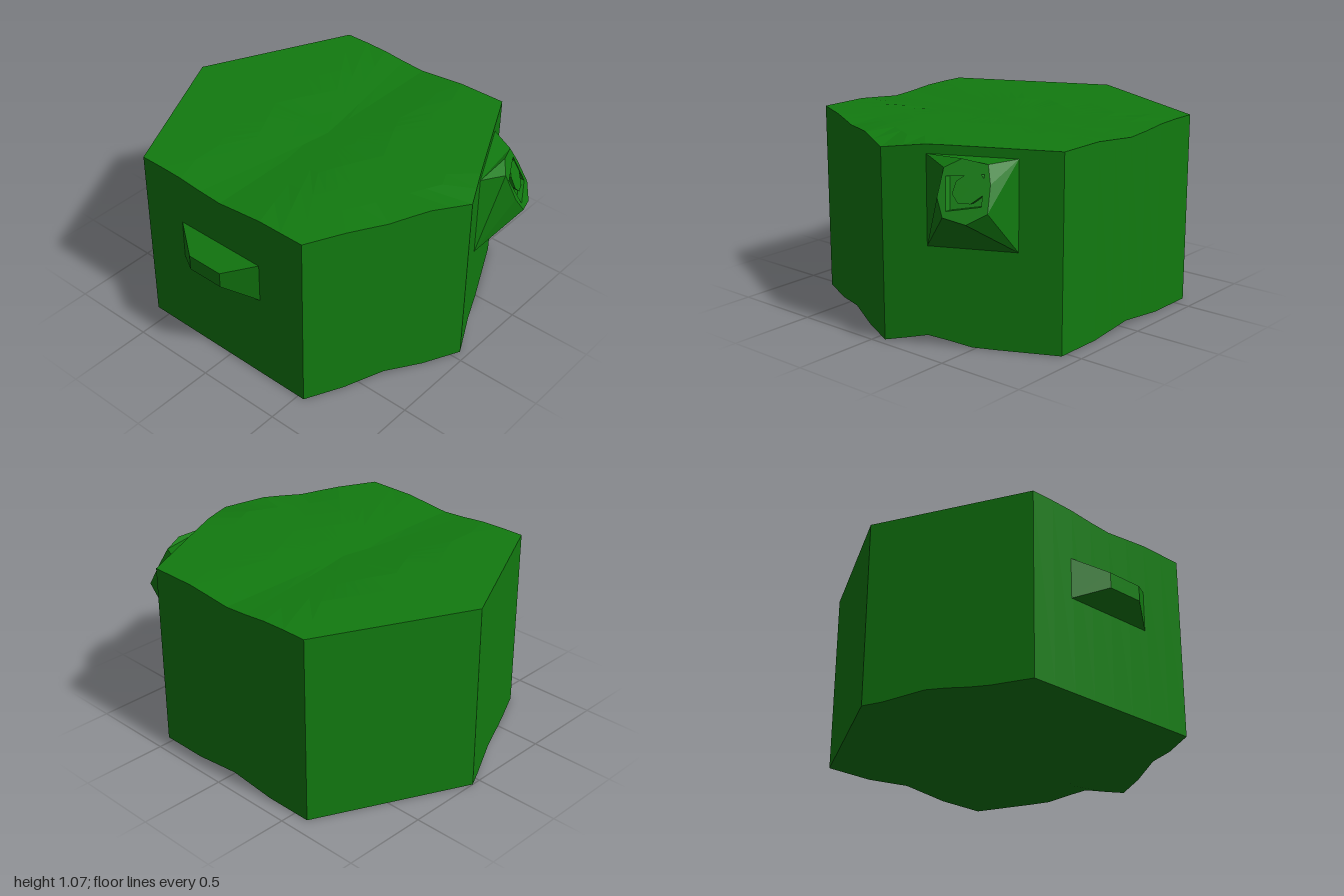
import * as THREE from 'three';

const material = new THREE.MeshStandardMaterial({ color: 0x127a10, flatShading: true });

// Skin a list of rings; points run clockwise as seen from the last ring's side
function loft(name, rings) {
  const pos = [];
  for (let i = 0; i < rings.length - 1; i++) {
    const lo = rings[i], hi = rings[i + 1], n = lo.length;
    for (let j = 0; j < n; j++) {
      const k = (j + 1) % n;
      for (const tri of [[lo[j], hi[j], hi[k]], [lo[j], hi[k], lo[k]]]) {
        const [a, b, c] = tri.map((p) => new THREE.Vector3(...p));
        if (b.sub(a).cross(c.sub(a)).length() > 1e-7) pos.push(...tri.flat());
      }
    }
  }
  const geo = new THREE.BufferGeometry();
  geo.setAttribute('position', new THREE.Float32BufferAttribute(pos, 3));
  geo.computeVertexNormals();
  const mesh = new THREE.Mesh(geo, material);
  mesh.name = name;
  return mesh;
}

// Triangular bump of height h centred on c with half-width w
const bump = (v, c, w, h) => h * Math.max(0, 1 - Math.abs(v - c) / w);

const HEIGHT = 1.07;
const CENTRE = [0.055, -0.025];
const CORNERS = [[0.055, -1], [0.905, -0.59], [0.905, 0.54], [0.055, 0.955], [-0.795, 0.54], [-0.795, -0.59]];

// Six-sided block with a shallow valley on top and chipped bottom edges
function makeBody() {
  const rim = [];
  // Notches in the bottom edge, per side: position, half-width, height
  const notches = [null, [0.5, 0.25, 0.03], [0.74, 0.25, 0.05], [0.5, 0.25, 0.03], null, [0.6, 0.3, 0.035]];
  CORNERS.forEach(([x0, z0], e) => {
    const [x1, z1] = CORNERS[(e + 1) % 6];
    for (let i = 0; i < 8; i++) {
      const t = i / 8;
      rim.push({ x: x0 + (x1 - x0) * t, z: z0 + (z1 - z0) * t, lift: notches[e] ? bump(t, ...notches[e]) : 0 });
    }
  });
  const topY = (x, z) => HEIGHT - bump(z, -0.05, 0.3, 0.03) - bump(z, 0.955, 0.11, 0.03)
    - bump(x, -0.37, 0.2, 0.015) * Math.max(0, Math.min(1, (z - 0.5) / 0.2));
  const ring = (s, yOf) => rim.map((p) => {
    const x = CENTRE[0] + (p.x - CENTRE[0]) * s, z = CENTRE[1] + (p.z - CENTRE[1]) * s;
    return [x, yOf(x, z, p.lift), z];
  });
  const scales = [0, 0.2, 0.4, 0.6, 0.8, 1];
  return loft('body', [
    ...scales.map((s) => ring(s, (x, z, lift) => lift * Math.max(0, (s - 0.6) / 0.4))),
    ...scales.reverse().map((s) => ring(s, topY)),
  ]);
}

// Flared spout on the front left side, its lip tilted upward
function makeSpout() {
  const nx = 0.439, nz = 0.898, faceD = 0.882;
  const place = (pts, out) => pts.map(([x, y]) => [x, y, (faceD + out(y) - nx * x) / nz]);
  const doubled = ([tl, tr, br, bl]) => [tl, tr, tr, br, br, bl, bl, tl];
  const base = doubled([[0.27, 1.02], [0.7, 1.02], [0.7, 0.535], [0.27, 0.535]]);
  const lip = [[0.505, 1.03], [0.63, 1.01], [0.67, 0.92], [0.7, 0.79], [0.62, 0.735], [0.505, 0.76], [0.45, 0.85], [0.435, 0.985]];
  const socket = doubled([[0.456, 0.946], [0.627, 0.966], [0.662, 0.819], [0.51, 0.79]]);
  const knob = lip.map((_, i) => {
    const a = Math.PI * (0.625 - i / 4);
    return [0.578 + 0.075 * Math.cos(a), 0.897 + 0.075 * Math.sin(a)];
  });
  const tilt = (sink) => (y) => 0.24 - (y - 0.74) * 0.5 - sink;
  return loft('spout', [
    place(base, () => 0),
    place(lip, tilt(0)),
    place(socket, tilt(0)),
    place(socket, tilt(0.03)),
    place(knob, tilt(0.03)),
    place(knob, tilt(0.005)),
    place(knob.map(() => [0.578, 0.897]), tilt(0.005)),
  ]);
}

// Low tapered boss on the right side
function makeBoss() {
  const rect = (x, y0, y1, z0, z1) => [[x, y1, z0], [x, y1, z1], [x, y0, z1], [x, y0, z0]];
  return loft('sideBoss', [
    rect(-0.795, 0.535, 0.77, -0.32, 0.24),
    rect(-0.915, 0.61, 0.7, -0.15, 0.07),
    rect(-0.915, 0.655, 0.655, -0.04, -0.04),
  ]);
}

export function createModel() {
  const group = new THREE.Group();
  group.name = 'hexagonalBlock';
  group.add(makeBody(), makeSpout(), makeBoss());
  return group;
}
